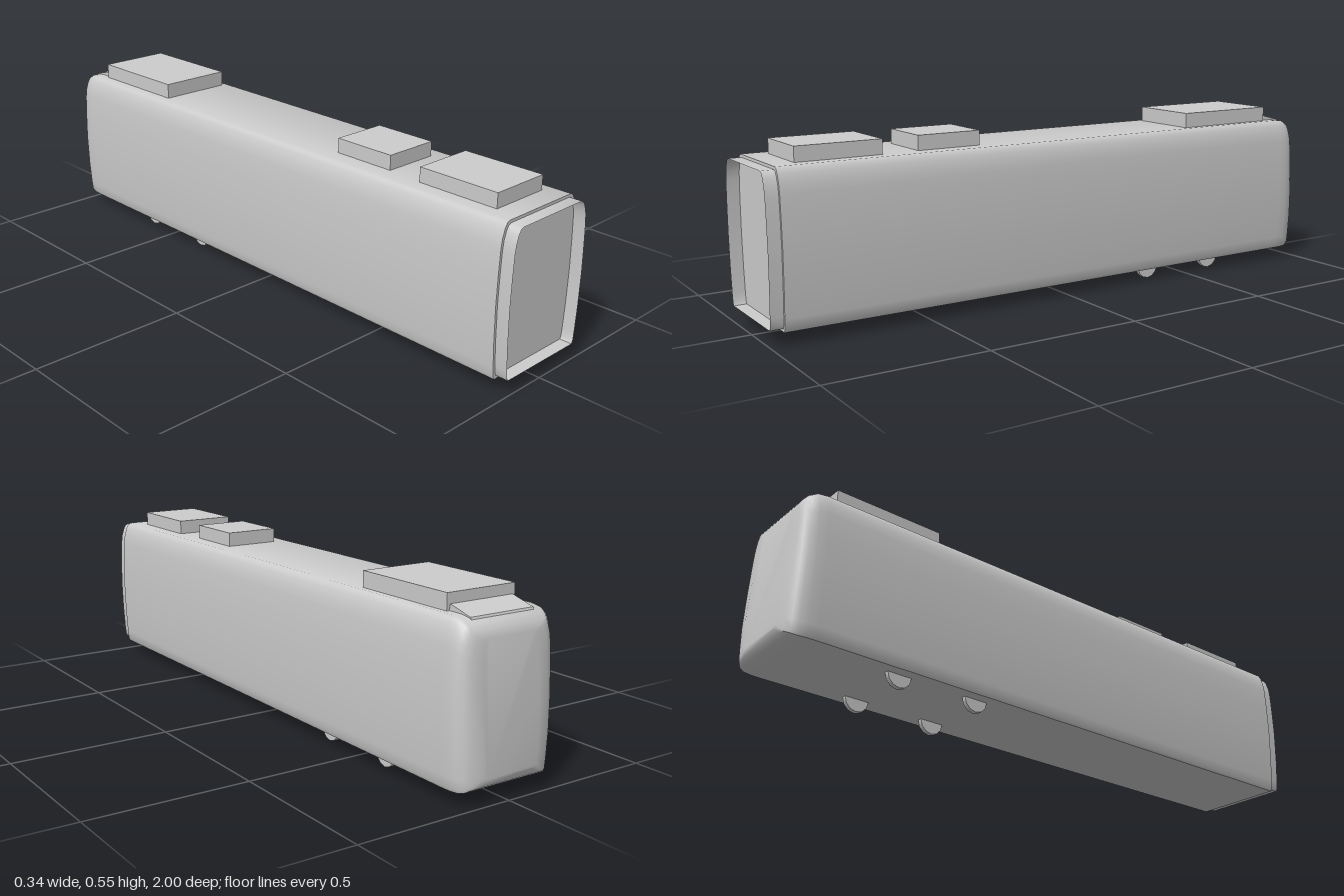
import * as THREE from 'three';
import { toCreasedNormals } from 'three/addons/utils/BufferGeometryUtils.js';

// Right half of the carriage cross-section, from floor to roof
const HALF = [
  [0.135, 0.04], [0.156, 0.04], [0.161, 0.05], [0.164, 0.08], [0.169, 0.16], [0.172, 0.27],
  [0.17, 0.36], [0.167, 0.43], [0.163, 0.46], [0.155, 0.485], [0.147, 0.499], [0.137, 0.504],
];
const LOOP = [...HALF, ...HALF.map(([x, y]) => [-x, y]).reverse()];
const BASE = 0.04, ROOF = 0.504;

// Each ring: z, width scale, roof height, floor height, lean of the upper end
function loft(rings, capped) {
  const n = LOOP.length, pos = [], index = [];
  for (const [z, sx, top, bottom, lean = 0] of rings) {
    for (const [x, y] of LOOP) {
      const t = (y - BASE) / (ROOF - BASE);
      pos.push(x * sx, bottom + t * (top - bottom), z + lean * Math.max(0, t - 0.25));
    }
  }
  for (let i = 0; i < rings.length - 1; i++) {
    for (let j = 0; j < n; j++) {
      const k = (j + 1) % n, a = i * n + j, b = i * n + k;
      index.push(a, a + n, b, b, a + n, b + n);
    }
  }
  if (capped) {
    const last = (rings.length - 1) * n;
    for (let j = 1; j < n - 1; j++) {
      index.push(0, j, j + 1);
      index.push(last, last + j + 1, last + j);
    }
  }
  const geo = new THREE.BufferGeometry();
  geo.setAttribute('position', new THREE.Float32BufferAttribute(pos, 3));
  geo.setIndex(index);
  return toCreasedNormals(geo, 0.65);
}

export function createModel() {
  const group = new THREE.Group();
  const grey = new THREE.MeshStandardMaterial({ color: 0xcccccc });
  grey.name = 'plain grey';
  grey.side = THREE.DoubleSide;

  const add = (name, geo, x = 0, y = 0, z = 0) => {
    const mesh = new THREE.Mesh(geo, grey);
    mesh.name = name;
    mesh.position.set(x, y, z);
    group.add(mesh);
    return mesh;
  };

  // Carriage shell with a rounded, slightly leaning nose at the rear
  add('carriageBody', loft([
    [0.96, 1, 0.504, 0.04],
    [-0.91, 1, 0.504, 0.04],
    [-0.94, 0.99, 0.5, 0.04],
    [-0.965, 0.96, 0.488, 0.041, 0.006],
    [-0.982, 0.9, 0.474, 0.046, 0.012],
    [-0.993, 0.78, 0.462, 0.055, 0.018],
    [-1, 0.58, 0.45, 0.075, 0.022],
  ], true));

  // Thin open lip around the recessed front end
  add('frontLip', loft([[1, 0.955, 0.495, 0.05], [0.955, 0.955, 0.495, 0.05]], false));

  // Raised fairing sloping down to the nose
  const wedge = new THREE.Shape([[0.85, 0.49], [0.95, 0.49], [0.945, 0.502], [0.87, 0.522], [0.85, 0.522]]
    .map(([x, y]) => new THREE.Vector2(x, y)));
  const fairing = new THREE.ExtrudeGeometry(wedge, { depth: 0.22, bevelEnabled: false });
  fairing.translate(0, 0, -0.11).rotateY(Math.PI / 2);
  add('roofFairing', fairing);

  // Roof equipment boxes: width, top, front z, rear z
  for (const [w, top, z1, z2] of [[0.2, 0.55, 0.89, 0.62], [0.18, 0.55, 0.5, 0.29], [0.24, 0.553, -0.505, -0.865]]) {
    const h = top - 0.495;
    add('roofBox', new THREE.BoxGeometry(w, h, z1 - z2), 0, top - h / 2, (z1 + z2) / 2);
  }

  // Wheels half sunk into the floor
  const wheel = toCreasedNormals(new THREE.CylinderGeometry(0.04, 0.04, 0.015, 12).rotateZ(Math.PI / 2), 0.8);
  for (const z of [-0.35, -0.62]) {
    for (const side of [-1, 1]) add('wheel', wheel, side * 0.1125, 0.04, z);
  }
  return group;
}
